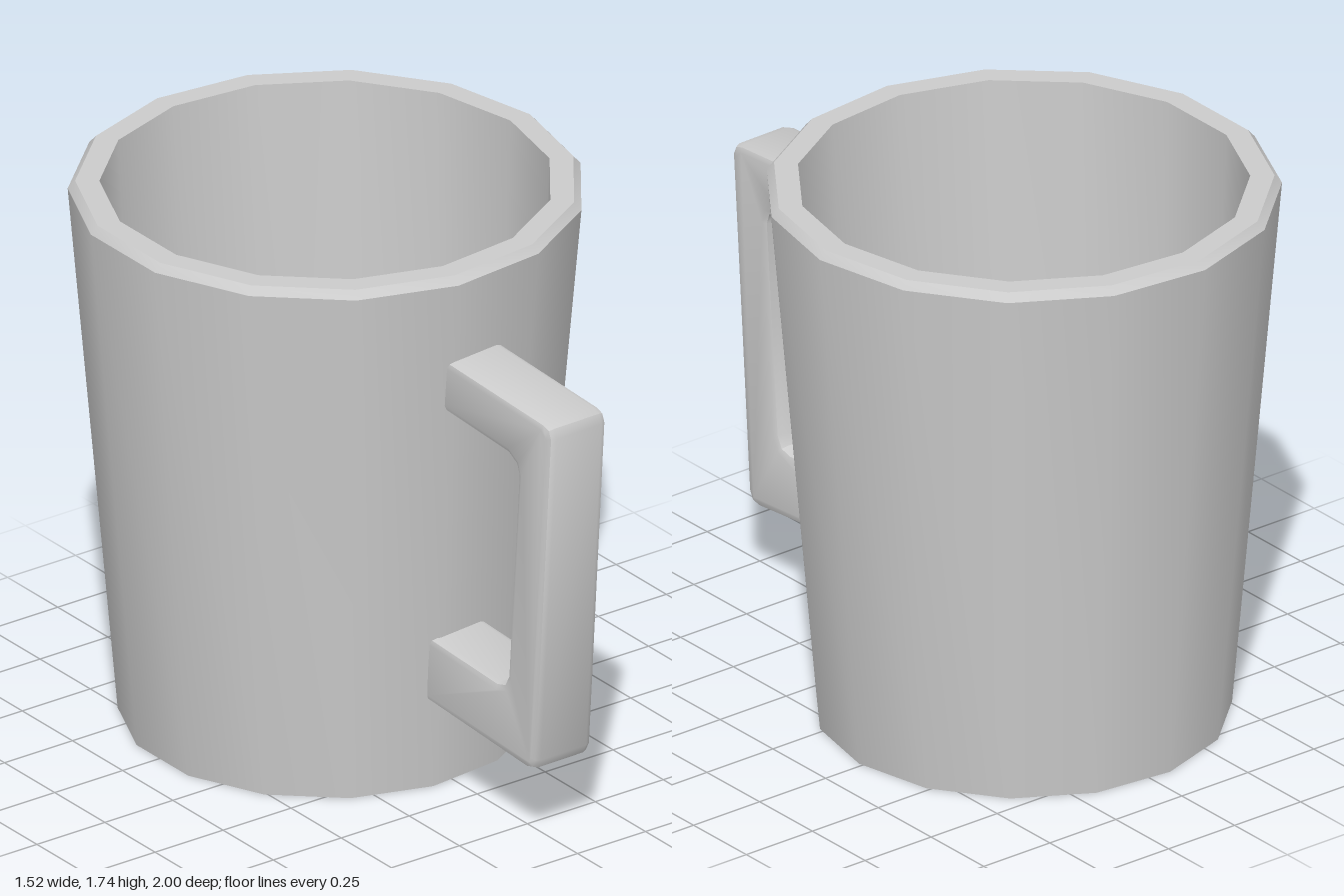
import * as THREE from 'three';
import { toCreasedNormals } from 'three/addons/utils/BufferGeometryUtils.js';

const SIDES = 15;
const CUP_X = -0.008;
const CUP_Z = -0.236;

const points = (list) => list.map(([x, y]) => new THREE.Vector2(x, y));

// Tapered hollow cup: base, outer wall, chamfered rim, inner wall, floor
function cupGeometry() {
  const profile = points([
    [0, 0], [0.62, 0], [0.768, 1.71], [0.746, 1.735],
    [0.674, 1.735], [0.601, 0.1], [0, 0.1],
  ]);
  const lathe = new THREE.LatheGeometry(profile, SIDES, Math.PI / 2);
  return toCreasedNormals(lathe, 0.6);
}

// Angular C-shaped handle, drawn as (z, y) and extruded across x
function handleGeometry() {
  const bevel = 0.022;
  const width = 0.212;
  const outline = points([
    [0.44, 1.453], [0.955, 1.425], [0.985, 1.415], [0.997, 1.385],
    [0.922, 0.3], [0.907, 0.27], [0.875, 0.261], [0.38, 0.298],
    [0.38, 0.51], [0.73, 0.488], [0.765, 0.498], [0.782, 0.53],
    [0.832, 1.21], [0.822, 1.24], [0.785, 1.262], [0.44, 1.285],
  ]);
  const geo = new THREE.ExtrudeGeometry(new THREE.Shape(outline), {
    depth: width - 2 * bevel,
    bevelSize: bevel,
    bevelThickness: bevel,
    bevelOffset: -bevel,
    bevelSegments: 2,
  });
  geo.translate(0, 0, -(width / 2 - bevel));
  geo.rotateY(-Math.PI / 2);
  // slight turn about the root
  geo.translate(0, 0, -0.45);
  geo.rotateY(0.02);
  geo.translate(-0.003, 0, 0.45);
  return toCreasedNormals(geo, 0.7);
}

export function createModel() {
  const group = new THREE.Group();
  group.name = 'mug';
  const material = new THREE.MeshStandardMaterial({ color: 0xcccccc });

  const cup = new THREE.Mesh(cupGeometry(), material);
  cup.name = 'cup';
  cup.position.set(CUP_X, 0, CUP_Z);

  const handle = new THREE.Mesh(handleGeometry(), material);
  handle.name = 'handle';

  group.add(cup, handle);
  return group;
}
